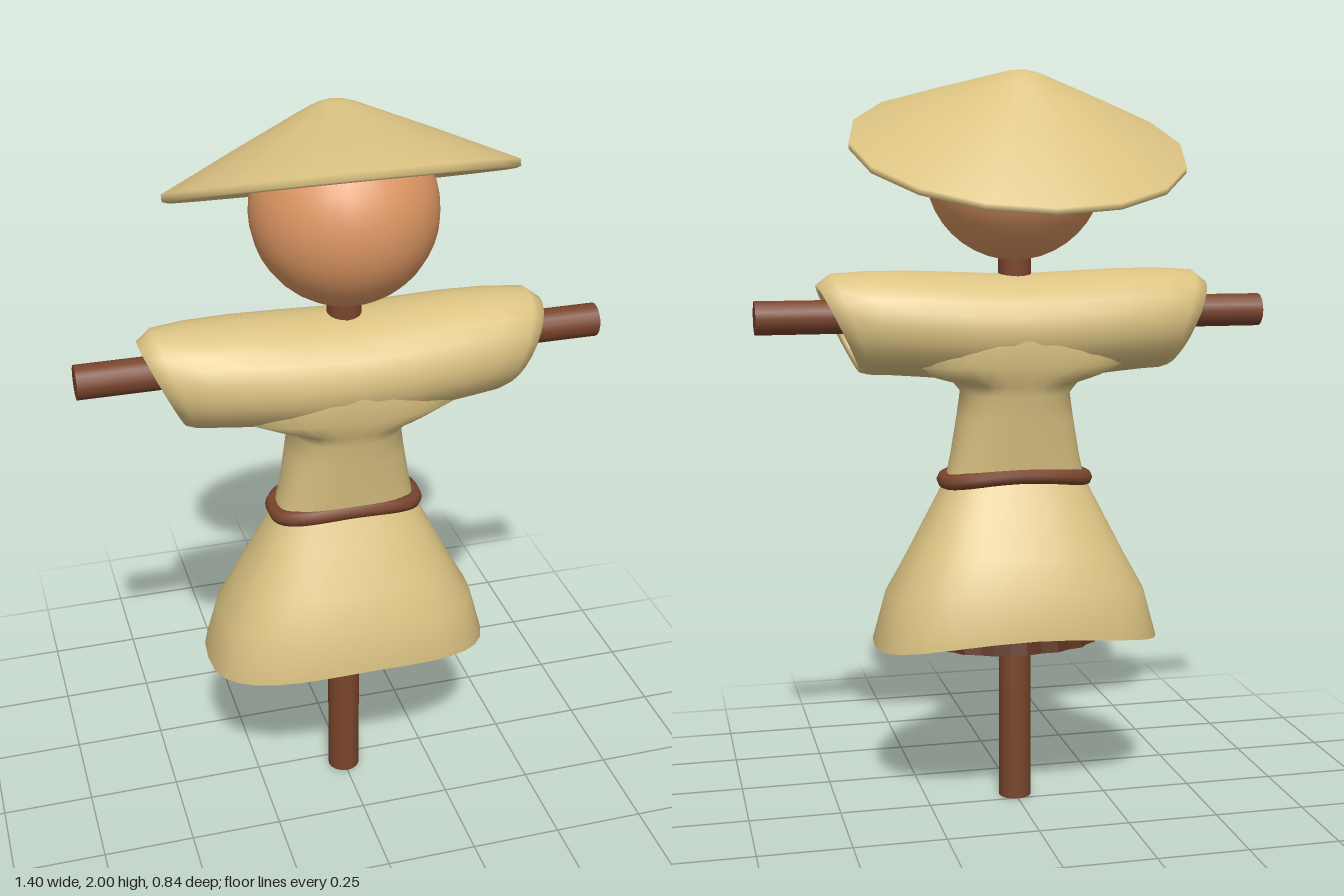
import * as THREE from 'three';

const ZC = 0.04; // depth of the post axis
const mat = (color, extra = {}) => new THREE.MeshStandardMaterial({ color, side: THREE.DoubleSide, ...extra });

function add(group, name, geometry, material) {
  const mesh = new THREE.Mesh(geometry, material);
  mesh.name = name;
  group.add(mesh);
  return mesh;
}

// Skin a list of closed rings (arrays of [x, y, z]) into one smooth surface.
function loft(rings) {
  const n = rings[0].length, index = [];
  for (let r = 0; r < rings.length - 1; r++) {
    for (let i = 0; i < n; i++) {
      const a = r * n + i, b = r * n + (i + 1) % n;
      index.push(a, a + n, b, b, a + n, b + n);
    }
  }
  const g = new THREE.BufferGeometry();
  g.setAttribute('position', new THREE.Float32BufferAttribute(rings.flat(2), 3));
  g.setIndex(index);
  g.computeVertexNormals();
  return g;
}

// Ring of unit directions; an exponent above 2 squares off the ellipse.
function unitRing(n, exponent = 2) {
  const p = (v) => Math.sign(v) * Math.abs(v) ** (2 / exponent);
  return Array.from({ length: n }, (_, i) => {
    const t = (i / n) * Math.PI * 2;
    return [p(Math.cos(t)), p(Math.sin(t))];
  });
}

// Horizontal ring whose sides hang lower than its front and back by "dip".
const flatRing = (y, rx, rz, dip = 0, exponent = 2.5) =>
  unitRing(32, exponent).map(([c, s]) => [c * rx, y - dip * c * c, ZC + s * rz]);

// Upright ring for the sleeves; "slant" pushes its top outwards.
const sleeveRing = (x, cy, ry, rz, slant) =>
  unitRing(24).map(([c, s]) => [x + slant * c, cy + c * ry, ZC - s * rz]);

export function createModel() {
  const model = new THREE.Group();
  model.name = 'scarecrow';
  const straw = mat(0xdcc383), wood = mat(0x7a452d), skin = mat(0xdd9763);
  const thatch = mat(0x5e3320, { flatShading: true });

  // Wooden cross
  add(model, 'post', new THREE.CylinderGeometry(0.045, 0.045, 1.6, 16), wood).position.set(0, 0.8, ZC);
  const bar = add(model, 'crossbar', new THREE.CylinderGeometry(0.045, 0.045, 1.4, 16), wood);
  bar.rotation.z = Math.PI / 2;
  bar.position.set(0, 1.36, ZC);

  // Head
  add(model, 'head', new THREE.SphereGeometry(0.24, 28, 20), skin).position.set(0, 1.745, ZC);

  // Shallow conical hat, tipped back
  const hatProfile = [
    [0, 0.188], [0.035, 0.182], [0.24, 0.088], [0.438, -0.012],
    [0.45, -0.008], [0.45, 0.01], [0.25, 0.104], [0.06, 0.19], [0.03, 0.2], [0, 0.204],
  ].map(([r, y]) => new THREE.Vector2(r, y));
  const hat = add(model, 'hat', new THREE.LatheGeometry(hatProfile, 16), straw);
  hat.position.set(0, 1.805, 0);
  hat.rotation.x = -0.374;

  // Sleeves: one tube across the shoulders with hollow, slanted cuffs
  const half = [
    [0.14, 1.329, 0.145, 0.178, 0],
    [0.28, 1.338, 0.142, 0.166, 0.005],
    [0.38, 1.341, 0.139, 0.15, 0.03],
    [0.45, 1.339, 0.135, 0.13, 0.05],
    [0.482, 1.328, 0.117, 0.108, 0.056],
    [0.472, 1.328, 0.1, 0.092, 0.056],
    [0.4, 1.335, 0.1, 0.092, 0.03],
    [0.3, 1.345, 0.05, 0.05, 0],
  ];
  const mirrored = half.map(([x, cy, ry, rz, s]) => [-x, cy, ry, rz, -s]).reverse();
  const sections = [...mirrored, [0, 1.325, 0.143, 0.18, 0], ...half];
  add(model, 'sleeves', loft(sections.map((s) => sleeveRing(...s))), straw);

  // Torso, flaring into the sleeves
  const torso = [
    [0.91, 0.192, 0.105], [0.98, 0.176, 0.115], [1.08, 0.158, 0.13], [1.15, 0.147, 0.142],
    [1.178, 0.17, 0.15], [1.195, 0.23, 0.158], [1.23, 0.32, 0.167], [1.3, 0.3, 0.176], [1.36, 0.2, 0.165],
  ];
  add(model, 'torso', loft(torso.map(([y, rx, rz]) => flatRing(y, rx, rz))), straw);

  // Belt
  const beltPath = new THREE.CatmullRomCurve3(
    flatRing(0.93, 0.193, 0.1, 0.022, 2.8).map((p) => new THREE.Vector3(...p)), true);
  add(model, 'belt', new THREE.TubeGeometry(beltPath, 64, 0.022, 8, true), wood);

  // Skirt: outer cloth, turned hem, inner cloth
  const skirt = [
    [0.92, 0.17, 0.08, 0.01], [0.72, 0.275, 0.17, 0.02], [0.62, 0.33, 0.21, 0.035], [0.512, 0.375, 0.243, 0.05],
    [0.513, 0.395, 0.26, 0.055], [0.63, 0.358, 0.235, 0.035], [0.72, 0.3, 0.197, 0.02],
    [0.82, 0.244, 0.147, 0.01], [0.92, 0.19, 0.1, 0.005],
  ];
  add(model, 'skirt', loft(skirt.map((s) => flatRing(...s))), straw);

  // Pleated straw bundle under the skirt
  const pleats = (y, rx, rz) => unitRing(32).map(([c, s], i) => {
    const k = i % 2 ? 0.95 : 1;
    return [c * rx * k, y, ZC + s * rz * k];
  });
  const bundle = loft([
    pleats(0.445, 0.001, 0.001), pleats(0.445, 0.235, 0.152), pleats(0.65, 0.19, 0.12), pleats(0.85, 0.13, 0.07),
  ]);
  add(model, 'strawBundle', bundle, thatch);

  return model;
}
